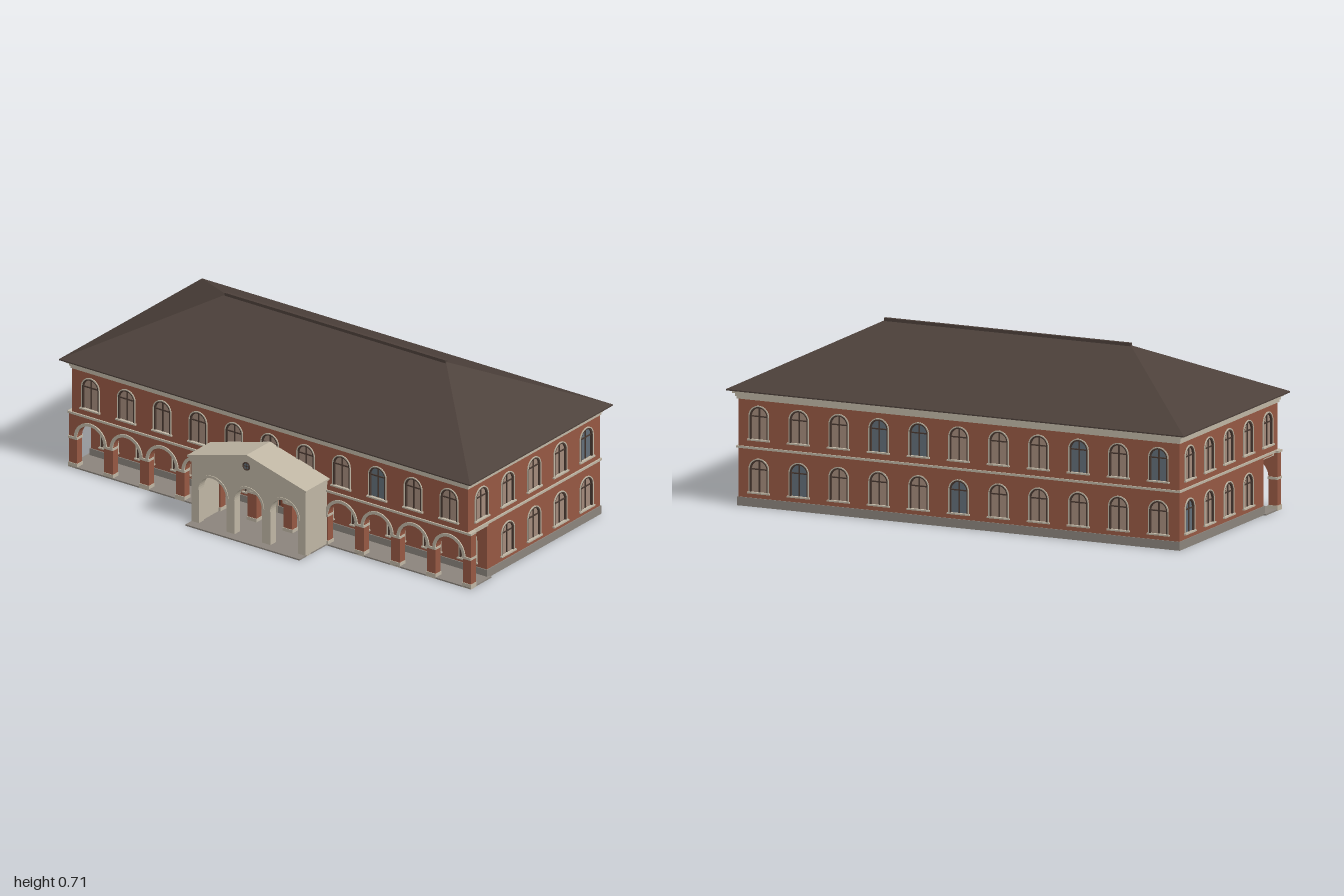
import * as THREE from 'three';
import { ConvexGeometry } from 'three/addons/geometries/ConvexGeometry.js';

const material = (name, color) => {
  const m = new THREE.MeshStandardMaterial({ color });
  m.name = name;
  return m;
};

export function createModel() {
  const model = new THREE.Group();
  model.name = 'villa';
  const brick = material('brick', 0x965843);
  const stone = material('stone', 0xbfb6a4);
  const roofMat = material('roof', 0x4c403a);
  const plinthMat = material('plinth', 0x8b847c);
  const glass = material('warmGlass', 0xa38a7b);
  const blueGlass = material('blueGlass', 0x626e78);
  const frameMat = material('darkFrame', 0x4a3a32);
  const doorMat = material('doorWood', 0x8a4a35);

  const CZ = -0.073, HX = 0.963, HZ = 0.436, STEP = 0.1745, T = 0.014;
  const add = (parent, name, geo, mat, x = 0, y = 0, z = 0) => {
    const m = new THREE.Mesh(geo, mat);
    m.name = name;
    m.position.set(x, y, z);
    parent.add(m);
    return m;
  };
  // Box given by its bounds
  const box = (parent, name, mat, x0, x1, y0, y1, z0, z1) =>
    add(parent, name, new THREE.BoxGeometry(x1 - x0, y1 - y0, z1 - z0), mat,
      (x0 + x1) / 2, (y0 + y1) / 2, (z0 + z1) / 2);
  const extrude = (shape, depth) =>
    new THREE.ExtrudeGeometry(shape, { depth, bevelEnabled: false, curveSegments: 10 });
  const polygon = pts => new THREE.Shape(pts.map(p => new THREE.Vector2(...p)));

  // Round-headed outline standing on y0
  const archPath = (Type, u, y0, w, h) => {
    const r = w / 2, p = new Type();
    p.moveTo(u - r, y0);
    p.lineTo(u + r, y0);
    p.lineTo(u + r, y0 + h - r);
    p.absarc(u, y0 + h - r, r, 0, Math.PI, false);
    p.closePath();
    return p;
  };
  const archRing = (w, h, t) => {
    const s = archPath(THREE.Shape, 0, 0, w, h);
    s.holes.push(archPath(THREE.Path, 0, 0.0005, w - 2 * t, h - t - 0.0005));
    return s;
  };

  // Window parts shared by every opening
  const W = 0.08, H = 0.132;
  const surroundGeo = extrude(archRing(W + 0.009, H + 0.0045, 0.0045), 0.005);
  const frameGeo = extrude(archRing(W, H, 0.006), 0.008);
  const paneGeo = new THREE.ShapeGeometry(archPath(THREE.Shape, 0, 0, W, H), 10);
  const backPaneGeo = paneGeo.clone().rotateY(Math.PI);
  const addWindow = (parent, u, y, blue) => {
    const g = new THREE.Group();
    g.name = 'window';
    g.position.set(u, y, 0);
    const pane = blue ? blueGlass : glass;
    add(g, 'windowSurround', surroundGeo, stone, 0, 0, -0.001);
    add(g, 'windowFrame', frameGeo, frameMat, 0, 0, -0.006);
    add(g, 'glassOutside', paneGeo, pane, 0, 0, -0.006);
    add(g, 'glassInside', backPaneGeo, pane, 0, 0, -0.008);
    box(g, 'mullion', frameMat, -0.0025, 0.0025, 0, H - 0.003, -0.007, -0.002);
    box(g, 'transom', frameMat, -W / 2, W / 2, 0.09, 0.095, -0.007, -0.002);
    box(g, 'sill', stone, -0.049, 0.049, -0.005, 0.001, -0.004, 0.009);
    parent.add(g);
  };

  // Wall with window openings; its outer face is at local z = 0
  const addWall = (name, pts, windows, x, z, turn, doorHole) => {
    const g = new THREE.Group();
    g.name = name;
    const s = polygon(pts);
    windows.forEach(([u, y]) => s.holes.push(archPath(THREE.Path, u, y, W, H)));
    if (doorHole) s.holes.push(new THREE.Path(doorHole.map(p => new THREE.Vector2(...p))));
    add(g, name + 'Brick', extrude(s, T), brick, 0, 0, -T);
    windows.forEach(([u, y, blue]) => addWindow(g, u, y, blue));
    g.position.set(x, 0, z);
    g.rotation.y = turn;
    model.add(g);
    return g;
  };
  const rect = (u0, u1, y0, y1) => [[u0, y0], [u1, y0], [u1, y1], [u0, y1]];
  const bays = [-5, -4, -3, -2, -1, 0, 1, 2, 3, 4, 5];
  const LOW = 0.058, HIGH = 0.27, TOP = 0.466, FLOOR2 = 0.224;
  const FRONT = CZ + HZ, BACK = CZ - HZ, RECESS = 0.238;

  // Front walls: recessed ground floor and upper floor
  const entrance = addWall('groundFrontWall', rect(-HX, HX, 0, FLOOR2),
    bays.filter(i => i !== 0).map(i => [i * STEP, LOW - 0.005, i === 1 || i === 5]),
    0, RECESS, 0, rect(-0.05, 0.05, 0.006, 0.145));
  addWall('upperFrontWall', rect(-HX, HX, FLOOR2, TOP),
    bays.map(i => [i * STEP, HIGH, i === 3]), 0, FRONT, 0);

  // Back wall
  const backBlue = { [LOW]: [4, 0], [HIGH]: [2, 1, -3, -5] };
  addWall('backWall', rect(-HX, HX, 0, TOP),
    [LOW, HIGH].flatMap(y => bays.map(i => [-i * STEP, y, backBlue[y].includes(i)])),
    0, BACK, Math.PI);

  // Side walls, stepped over the open loggia end
  for (const side of [1, -1]) {
    const pts = [[BACK, 0], [RECESS, 0], [RECESS, FLOOR2], [FRONT, FLOOR2], [FRONT, TOP], [BACK, TOP]]
      .map(([z, y]) => [-side * z, y]);
    const windows = [];
    for (let k = -2; k <= 2; k++) {
      const u = -side * (CZ + k * 0.173);
      windows.push([u, HIGH, side > 0 && k === -2]);
      if (k < 2) windows.push([u, LOW, side < 0 && k === -2]);
    }
    addWall(side > 0 ? 'leftWall' : 'rightWall', pts, windows, side * HX, 0, side * Math.PI / 2);
  }

  // Double entrance door
  box(entrance, 'doorFrame', frameMat, -0.05, 0.05, 0.006, 0.145, -0.012, -0.004);
  for (const s of [-1, 1]) {
    add(entrance, 'doorLeaf', new THREE.BoxGeometry(0.036, 0.118, 0.006), doorMat, s * 0.022, 0.07, -0.003);
    add(entrance, 'doorPanel', new THREE.BoxGeometry(0.018, 0.055, 0.002), frameMat, s * 0.022, 0.092, 0.001);
    box(entrance, 'doorJamb', stone, s * 0.054 - 0.004, s * 0.054 + 0.004, 0.006, 0.15, -0.002, 0.005);
  }
  box(entrance, 'doorLintel', stone, -0.058, 0.058, 0.145, 0.153, -0.002, 0.005);

  // Hollow rectangular bands around the building
  const band = (name, mat, y0, y1, out, z1 = FRONT + out) => {
    const s = polygon(rect(-HX - out, HX + out, -z1, -BACK + out));
    s.holes.push(new THREE.Path(rect(-HX + T, HX - T, -z1 + out + T, -BACK - T)
      .map(p => new THREE.Vector2(...p))));
    add(model, name, extrude(s, y1 - y0).rotateX(-Math.PI / 2), mat, 0, y0, 0);
  };
  band('plinth', plinthMat, 0, 0.035, 0.004, RECESS + 0.004);
  band('beltCourse', stone, 0.231, 0.24, 0.006);
  band('friezeMoulding', stone, 0.428, 0.438, 0.005);
  band('frieze', stone, 0.438, 0.451, 0.009);
  band('cornice', stone, 0.451, 0.463, 0.018);

  // Hipped roof and ridge cap
  const roofPts = [];
  for (const sx of [-1, 1]) {
    roofPts.push(new THREE.Vector3(sx * 0.535, 0.699, CZ));
    for (const sz of [-1, 1]) for (const y of [0.463, 0.468])
      roofPts.push(new THREE.Vector3(sx, y, CZ + sz * 0.472));
  }
  add(model, 'hippedRoof', new ConvexGeometry(roofPts), roofMat);
  box(model, 'ridgeCap', roofMat, -0.538, 0.538, 0.692, 0.708, CZ - 0.007, CZ + 0.007);

  // Loggia floor and ceiling
  box(model, 'loggiaFloor', plinthMat, -0.978, 0.978, 0, 0.006, RECESS - 0.01, FRONT + 0.003);
  box(model, 'loggiaCeiling', stone, -HX, HX, 0.22, 0.23, RECESS - 0.01, FRONT - 0.004);

  // Wall outline with a row of arches cut up from the ground
  const arcadeShape = (half, top, list, r, spring) => {
    const s = new THREE.Shape();
    s.moveTo(-half, top);
    s.lineTo(-half, 0);
    for (const i of list) {
      const x = i * STEP;
      s.lineTo(x - r, 0);
      s.lineTo(x - r, spring);
      s.absarc(x, spring, r, Math.PI, 0, true);
      s.lineTo(x + r, 0);
    }
    s.lineTo(half, 0);
    s.lineTo(half, top);
    s.closePath();
    return s;
  };
  const archivolt = (r0, r1) => {
    const s = new THREE.Shape();
    s.absarc(0, 0, r1, 0, Math.PI, false);
    s.absarc(0, 0, r0, Math.PI, 0, true);
    s.closePath();
    return s;
  };

  // Brick arcade with stone trim
  const R = 0.066, SPRING = 0.132, AZ = 0.33;
  add(model, 'arcade', extrude(arcadeShape(0.978, 0.232, bays, R, SPRING), FRONT - AZ), brick, 0, 0, AZ);
  box(model, 'arcadeCoping', stone, -0.982, 0.982, 0.231, 0.24, AZ, FRONT + 0.006);
  const trimGeo = extrude(archivolt(R, 0.079), 0.006);
  bays.forEach(i => add(model, 'archTrim', trimGeo, stone, i * STEP, SPRING, FRONT - 0.001));
  for (let i = -6; i < 6; i++) {
    const outer = i === -6 ? -1 : i === 5 ? 1 : 0;
    const x = outer ? outer * 0.958 : (i + 0.5) * STEP, w = outer ? 0.022 : 0.0235;
    box(model, 'pierCapital', stone, x - w, x + w, 0.124, 0.134, AZ - 0.003, FRONT + 0.005);
    box(model, 'pierBase', stone, x - w, x + w, 0, 0.02, AZ - 0.002, FRONT + 0.003);
  }

  // Gabled entrance porch
  const porch = new THREE.Group();
  porch.name = 'porch';
  model.add(porch);
  add(porch, 'porchFront', extrude(arcadeShape(0.277, 0.27, [-1, 0, 1], 0.067, 0.15), 0.035), stone, 0, 0, 0.47);
  for (const s of [-1, 1])
    box(porch, 'porchSide', stone, s * 0.262 - 0.015, s * 0.262 + 0.015, 0, 0.27, FRONT - 0.002, 0.48);
  box(porch, 'porchMoulding', stone, -0.281, 0.281, 0.264, 0.285, FRONT - 0.002, 0.511);
  add(porch, 'porchGable', extrude(polygon([[-0.289, 0.284], [0.289, 0.284], [0.289, 0.291], [0, 0.37], [-0.289, 0.291]]),
    0.157), stone, 0, 0, FRONT - 0.002);
  const porchTrim = extrude(archivolt(0.067, 0.077), 0.004);
  for (const i of [-1, 0, 1]) add(porch, 'porchArchTrim', porchTrim, stone, i * STEP, 0.15, 0.504);
  box(porch, 'porchStep', plinthMat, -0.277, 0.277, 0, 0.006, FRONT, 0.545);

  // Small round gable window
  add(porch, 'roundGlass', new THREE.CircleGeometry(0.015, 20), blueGlass, 0, 0.322, 0.519);
  add(porch, 'roundFrame', new THREE.TorusGeometry(0.0155, 0.003, 6, 20), frameMat, 0, 0.322, 0.519);
  add(porch, 'roundBarUpright', new THREE.BoxGeometry(0.003, 0.03, 0.003), frameMat, 0, 0.322, 0.519);
  add(porch, 'roundBarLevel', new THREE.BoxGeometry(0.03, 0.003, 0.003), frameMat, 0, 0.322, 0.519);

  return model;
}
